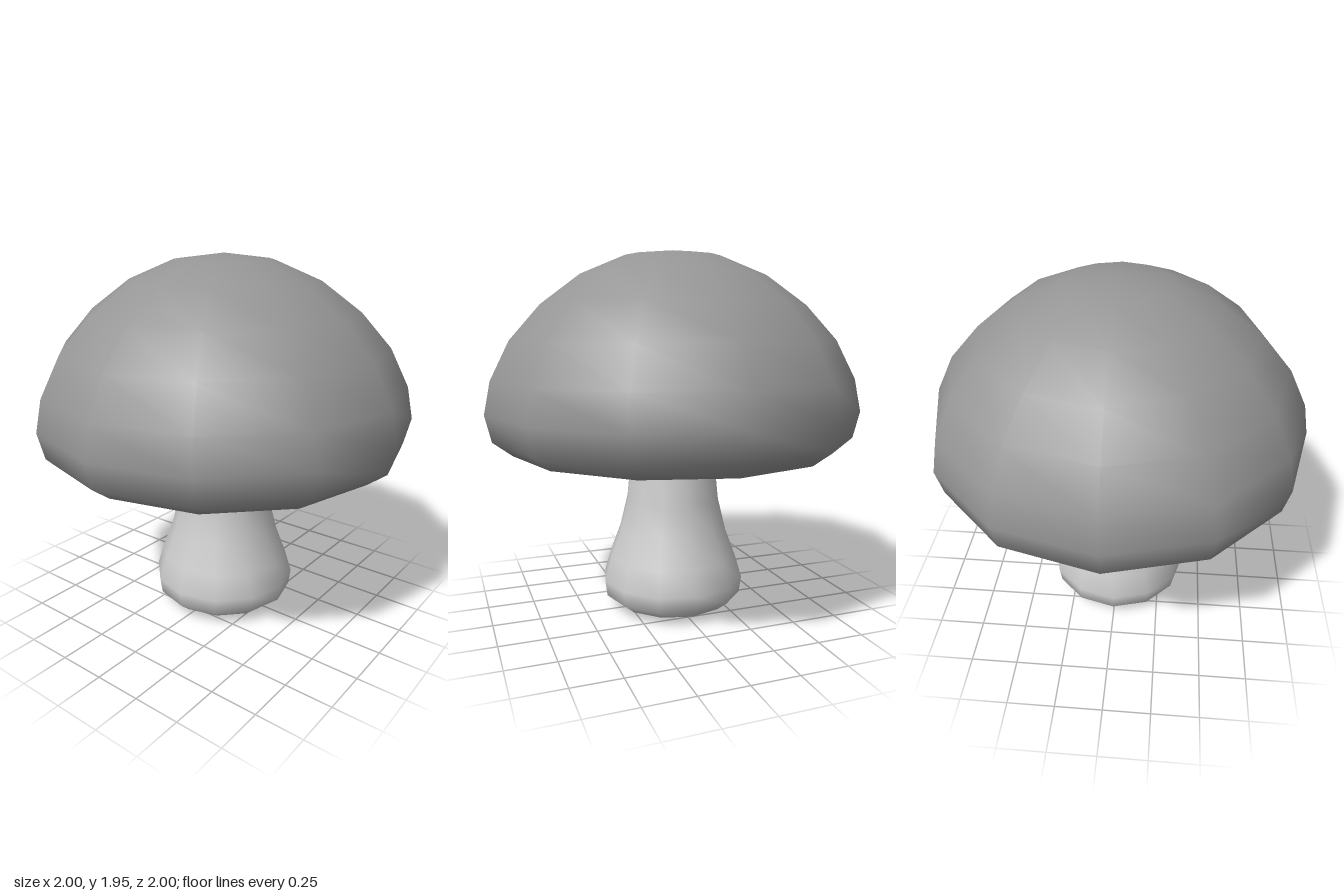
import * as THREE from 'three';

const SIDES = 12;

// Smooth lathe from [radius, height] pairs listed bottom to top
function turned(name, profile, color) {
  const points = profile.map(([r, y]) => new THREE.Vector2(r, y));
  const geometry = new THREE.LatheGeometry(points, SIDES);
  // Pole normals point straight along the axis
  const { position, normal } = geometry.attributes;
  const middle = (profile[0][1] + profile.at(-1)[1]) / 2;
  for (let i = 0; i < position.count; i++) {
    if (Math.hypot(position.getX(i), position.getZ(i)) < 1e-5) {
      normal.setXYZ(i, 0, position.getY(i) > middle ? 1 : -1, 0);
    }
  }
  const mesh = new THREE.Mesh(geometry, new THREE.MeshStandardMaterial({ color }));
  mesh.name = name;
  return mesh;
}

export function createModel() {
  const group = new THREE.Group();
  group.name = 'mushroom';

  // Stem: bulbous foot narrowing to a neck that ends inside the cap
  group.add(turned('stem', [
    [0, 0], [0.18, 0.017], [0.32, 0.032], [0.38, 0.08], [0.392, 0.165], [0.355, 0.29],
    [0.3, 0.435], [0.257, 0.61], [0.23, 0.88], [0.2, 1.06], [0, 1.12],
  ], 0xcccccc));

  // Cap: squashed dome with evenly spaced rings and a hollowed underside
  const heights = [1.06, 1.045, 1.0, 0.925, 0.895, 0.97, 1.11, 1.28, 1.48, 1.66, 1.815, 1.918, 1.95];
  const rings = heights.map((y, i) => [Math.abs(Math.sin((i * Math.PI) / 12)), y]);
  rings[0][0] = rings[12][0] = 0;
  group.add(turned('cap', rings, 0x969696));

  return group;
}
